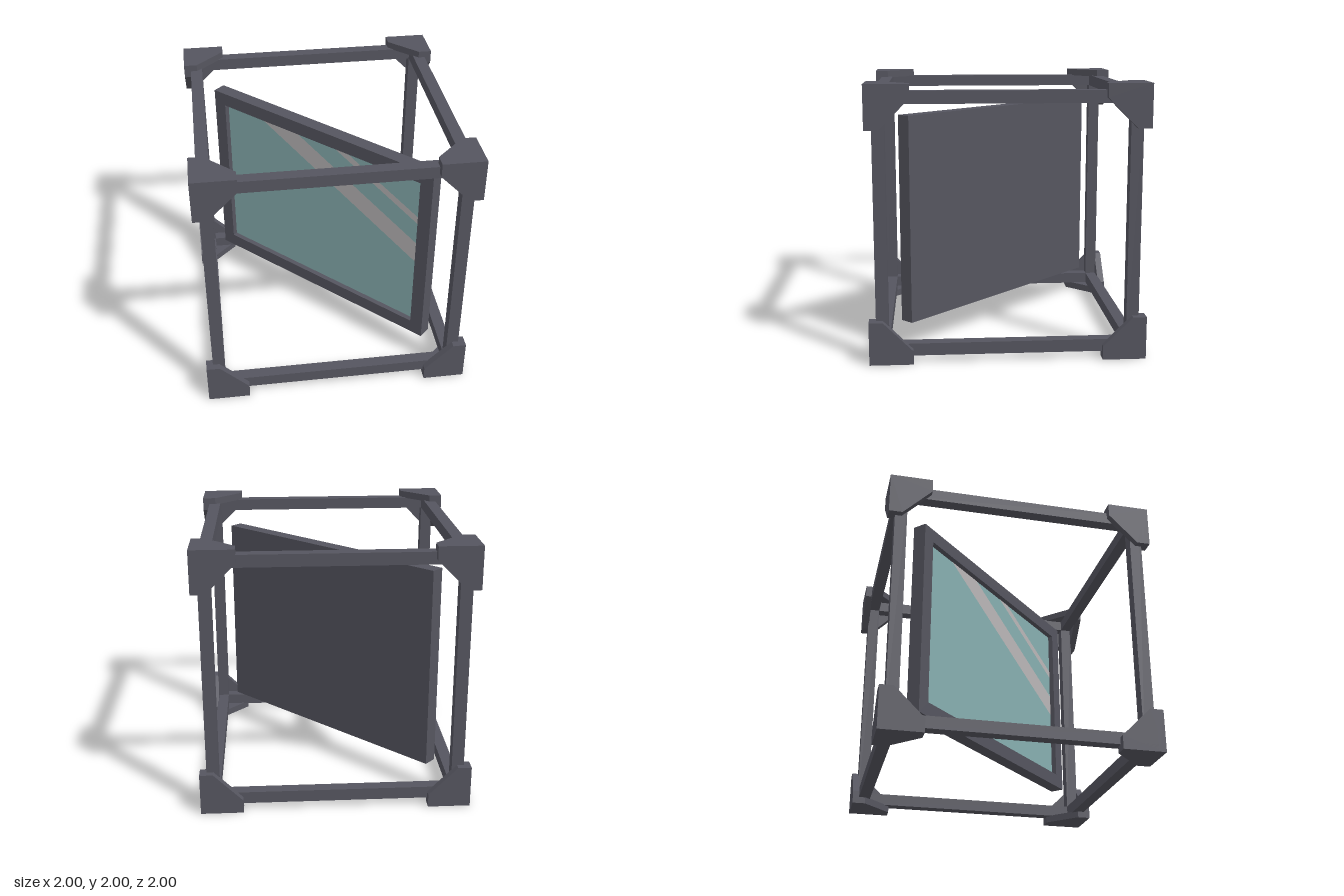
import * as THREE from 'three';

const mat = (color) => new THREE.MeshStandardMaterial({ color, flatShading: true });

function add(parent, name, geometry, material, x = 0, y = 0, z = 0) {
  const mesh = new THREE.Mesh(geometry, material);
  mesh.name = name;
  mesh.position.set(x, y, z);
  parent.add(mesh);
  return mesh;
}

const polygon = (points) => new THREE.Shape(points.map(([x, y]) => new THREE.Vector2(x, y)));

const rectangle = (w, h) => polygon([[-w / 2, -h / 2], [w / 2, -h / 2], [w / 2, h / 2], [-w / 2, h / 2]]);

// Three chamfered plates meeting at the corner (1, 1, 1)
function makeCorner(material) {
  const corner = new THREE.Group();
  const end = 0.685, arm = 0.9, thick = 0.055;
  const shape = polygon([[1, 1], [end, 1], [end, arm], [arm, end], [1, end]]);
  const geometry = new THREE.ExtrudeGeometry(shape, { depth: thick, bevelEnabled: false });
  geometry.translate(0, 0, 1 - thick);
  const diagonal = new THREE.Vector3(1, 1, 1).normalize();
  for (let i = 0; i < 3; i++) {
    add(corner, 'cornerPlate', geometry, material)
      .quaternion.setFromAxisAngle(diagonal, i * Math.PI * 2 / 3);
  }
  return corner;
}

// Open cube of square bars with a bracket on each corner
function makeCage(material) {
  const cage = new THREE.Group();
  cage.name = 'cage';
  const c = 0.905, w = 0.09, length = 2 * c + w;
  for (const a of [-c, c]) {
    for (const b of [-c, c]) {
      add(cage, 'barAcross', new THREE.BoxGeometry(length, w, w), material, 0, a, b);
      add(cage, 'barUpright', new THREE.BoxGeometry(w, length, w), material, a, 0, b);
      add(cage, 'barDeep', new THREE.BoxGeometry(w, w, length), material, a, b, 0);
    }
  }
  for (const flip of [0, Math.PI]) {
    for (let i = 0; i < 4; i++) {
      const corner = makeCorner(material);
      corner.name = 'cornerBracket';
      corner.rotation.set(flip, i * Math.PI / 2, 0);
      cage.add(corner);
    }
  }
  return cage;
}

// Diagonal panel with a recessed pane and reflection stripes
function makePanel(material) {
  const panel = new THREE.Group();
  panel.name = 'panel';
  const w = 2.08, h = 1.525, depth = 0.106, border = 0.106, recess = 0.042;
  const paneZ = depth / 2 - recess;
  const paneW = w - 2 * border, paneH = h - 2 * border;

  const rim = rectangle(w, h);
  rim.holes.push(rectangle(paneW, paneH));
  add(panel, 'panelRim', new THREE.ExtrudeGeometry(rim, { depth: recess, bevelEnabled: false }),
    material, 0, 0, paneZ);
  add(panel, 'panelBack', new THREE.BoxGeometry(w, h, depth - recess), material, 0, 0, -recess / 2);
  add(panel, 'glassPane', new THREE.PlaneGeometry(paneW, paneH), mat(0x87afb0), 0, 0, paneZ + 0.001);

  // Each stripe runs from the top edge down to the right edge of the pane
  const right = paneW / 2, top = paneH / 2;
  const stripes = [[-0.62, -0.27, 0.072, -0.102], [0.09, 0.21, 0.313, 0.253]];
  for (const [x0, x1, yHigh, yLow] of stripes) {
    const shape = polygon([[x0, top], [right, yLow], [right, yHigh], [x1, top]]);
    add(panel, 'reflectionStripe', new THREE.ShapeGeometry(shape), mat(0xb9b6b7), 0, 0, paneZ + 0.003);
  }
  panel.rotation.y = -Math.PI / 4;
  return panel;
}

export function createModel() {
  const model = new THREE.Group();
  model.name = 'framedCube';
  const slate = mat(0x55555f);
  model.add(makeCage(slate), makePanel(slate));
  for (const part of model.children) part.position.y = 1;
  return model;
}
